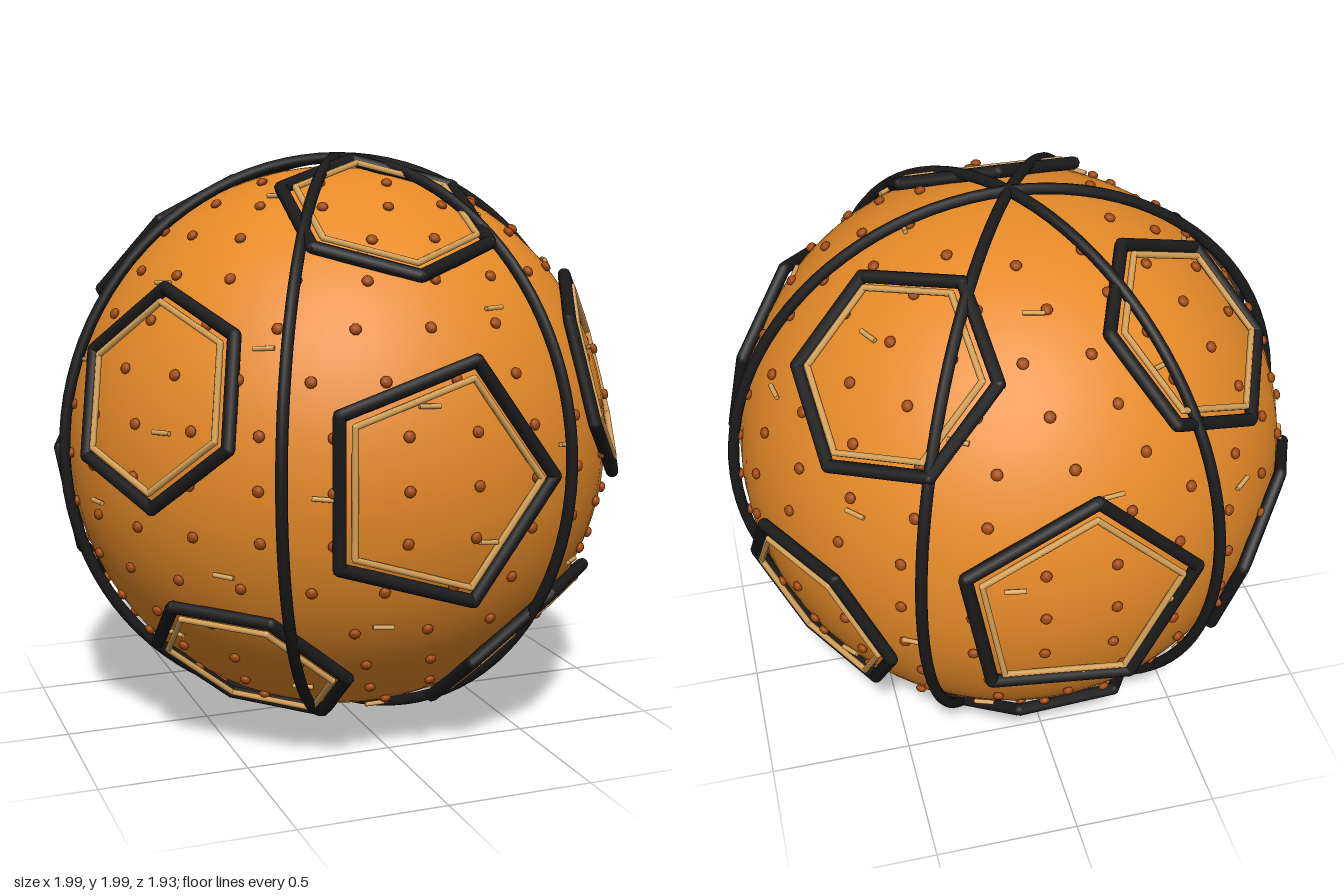
import * as THREE from 'three';
import { mergeGeometries } from 'three/addons/utils/BufferGeometryUtils.js';

const Z = new THREE.Vector3(0, 0, 1);
const Y = new THREE.Vector3(0, 1, 0);
const rad = THREE.MathUtils.degToRad;

const mat = (name, color) => {
  const m = new THREE.MeshStandardMaterial({ color });
  m.name = name;
  return m;
};

// Straight-edged closed frame with round corners, in the XY plane
function polygonFrame(sides, radius, thickness, start, radial) {
  const pts = [];
  for (let i = 0; i < sides; i++) {
    const a = start + (i / sides) * Math.PI * 2;
    pts.push(new THREE.Vector3(Math.cos(a) * radius, Math.sin(a) * radius, 0));
  }
  const parts = [];
  pts.forEach((p, i) => {
    const q = pts[(i + 1) % sides];
    parts.push(new THREE.TubeGeometry(new THREE.LineCurve3(p, q), 1, thickness, radial, false));
    parts.push(new THREE.SphereGeometry(thickness, 8, 6).translate(p.x, p.y, 0));
  });
  return mergeGeometries(parts);
}

// Copy of a small part placed on the ball, its +z pointing outward
function onBall(geometry, dir, distance) {
  const right = new THREE.Vector3().crossVectors(Y, dir).normalize();
  const up = new THREE.Vector3().crossVectors(dir, right);
  const m = new THREE.Matrix4().makeBasis(right, up, dir);
  m.setPosition(dir.clone().multiplyScalar(distance));
  return geometry.clone().applyMatrix4(m);
}

export function createModel() {
  const model = new THREE.Group();
  model.name = 'ball';
  const orange = mat('orange leather', 0xe68a28);
  const black = mat('black rubber', 0x1a1a1a);
  const tan = mat('tan stitching', 0xd8a45a);
  const brown = mat('brown pebbles', 0xa0480c);

  const body = new THREE.Group();
  body.name = 'body';
  body.position.set(0, 1, -0.008);
  model.add(body);
  const add = (name, geometry, material, parent = body) => {
    const mesh = new THREE.Mesh(geometry, material);
    mesh.name = name;
    parent.add(mesh);
    return mesh;
  };

  add('ballSurface', new THREE.SphereGeometry(0.95, 64, 48), orange);

  // Three seams through both poles
  for (let i = 0; i < 3; i++) {
    add('seam', new THREE.TorusGeometry(0.978, 0.019, 10, 96), black).rotation.y = (i * Math.PI) / 3;
  }

  // Pentagon and hexagon panels around the ball
  const addPanel = (name, dir, sides, radius, distance, start) => {
    const panel = new THREE.Group();
    panel.name = name;
    panel.quaternion.setFromUnitVectors(Z, dir);
    body.add(panel);
    add('panelFrame', polygonFrame(sides, radius, 0.022, start, 8), black, panel).position.z = distance;
    add('panelStitching', polygonFrame(sides, radius * 0.865, 0.011, start, 6), tan, panel).position.z = distance + 0.017;
  };
  addPanel('frontPentagon', Z, 5, 0.4, 0.9, 0);
  addPanel('backPentagon', new THREE.Vector3(0, 0, -1), 5, 0.4, 0.9, rad(10));
  // Five hexagons behind each pentagon: [angle round z, twist] in degrees
  const hexagons = {
    front: [[90, 0], [18, 0], [162, 0], [-54, 13], [234, -13]],
    back: [[-18, 0], [54, 12], [126, 31], [198, -23], [270, 24]],
  };
  for (const [place, list] of Object.entries(hexagons)) {
    const z = place === 'front' ? 0.49 : -0.49;
    for (const [angle, twist] of list) {
      const a = rad(angle);
      const dir = new THREE.Vector3(Math.cos(a) * 0.872, Math.sin(a) * 0.872, z).normalize();
      addPanel(place + 'Hexagon', dir, 6, 0.35, 0.918, rad(30 + twist));
    }
  }

  // Pebbles in rows of latitude, mirrored above and below the middle
  const pebble = new THREE.SphereGeometry(0.019, 10, 6).scale(1, 1, 0.7);
  const rowCounts = [26, 26, 25, 22, 21, 18, 14, 9];
  const pebbles = [];
  for (let row = -7; row <= 7; row++) {
    const lat = rad(row * 10);
    const count = rowCounts[Math.abs(row)];
    const shift = row !== 0 && row % 3 === 0 ? 0.5 : 0;
    for (let i = 0; i < count; i++) {
      const lon = ((i + shift) / count) * Math.PI * 2;
      const dir = new THREE.Vector3(
        Math.cos(lat) * Math.cos(lon), Math.sin(lat), Math.cos(lat) * Math.sin(lon));
      pebbles.push(onBall(pebble, dir, 0.958));
    }
  }
  add('pebbles', mergeGeometries(pebbles), brown);

  // Short loose stitches scattered along a spiral
  const stitches = [];
  const total = 54;
  for (let i = 0; i < total; i++) {
    const y = 0.95 - (1.9 * (i + 0.5)) / total;
    const r = Math.sqrt(1 - y * y);
    const a = i * Math.PI * (3 - Math.sqrt(5));
    const dir = new THREE.Vector3(Math.cos(a) * r, y, Math.sin(a) * r);
    const stitch = new THREE.CylinderGeometry(0.008, 0.008, 0.068, 8)
      .rotateZ(Math.PI / 2 + 0.1 * Math.sin(i * 2.3));
    stitches.push(onBall(stitch, dir, 0.96));
  }
  add('looseStitches', mergeGeometries(stitches), tan);

  return model;
}
